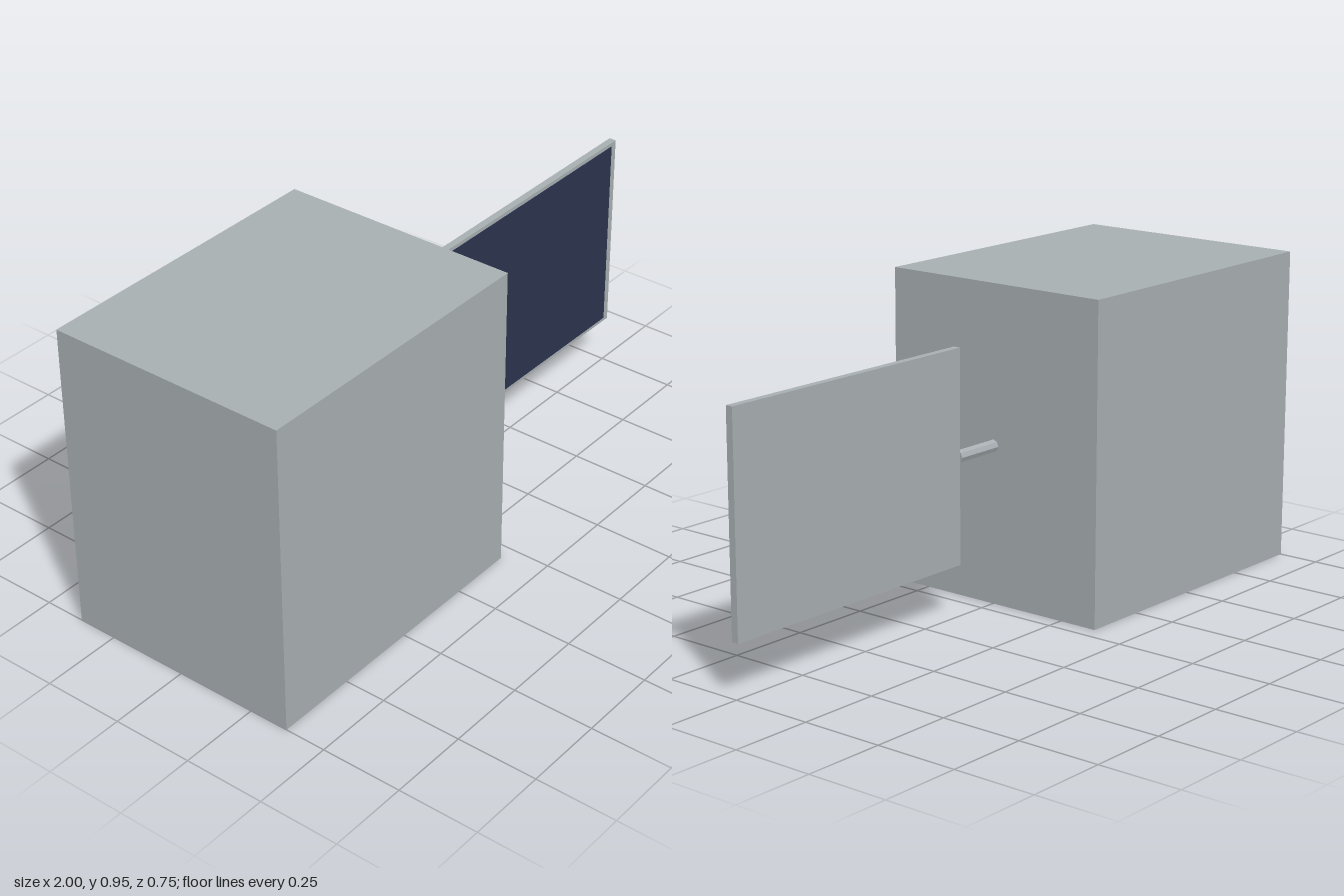
import * as THREE from 'three';

export function createModel() {
  const model = new THREE.Group();
  const metal = new THREE.MeshStandardMaterial({ name: 'grey metal', color: 0xa8afb2, flatShading: true });
  const cells = new THREE.MeshStandardMaterial({ name: 'navy cells', color: 0x2c344f, flatShading: true });

  const add = (name, geometry, material, x, y, z) => {
    const mesh = new THREE.Mesh(geometry, material);
    mesh.name = name;
    mesh.position.set(x, y, z);
    model.add(mesh);
    return mesh;
  };

  const midY = 0.476;

  // Main body block
  add('body', new THREE.BoxGeometry(0.948, 0.952, 0.746), metal, -0.526, midY, 0);

  // Short boom joining the body to the panel
  const boom = add('boom', new THREE.CylinderGeometry(0.019, 0.019, 0.16, 8), metal, 0.028, midY, 0);
  boom.rotation.z = Math.PI / 2;

  // Panel frame with a thin dark cell sheet on its front
  add('panelFrame', new THREE.BoxGeometry(0.892, 0.636, 0.022), metal, 0.554, midY, 0);
  add('panelCells', new THREE.BoxGeometry(0.852, 0.612, 0.003), cells, 0.551, midY, 0.0112);

  return model;
}
